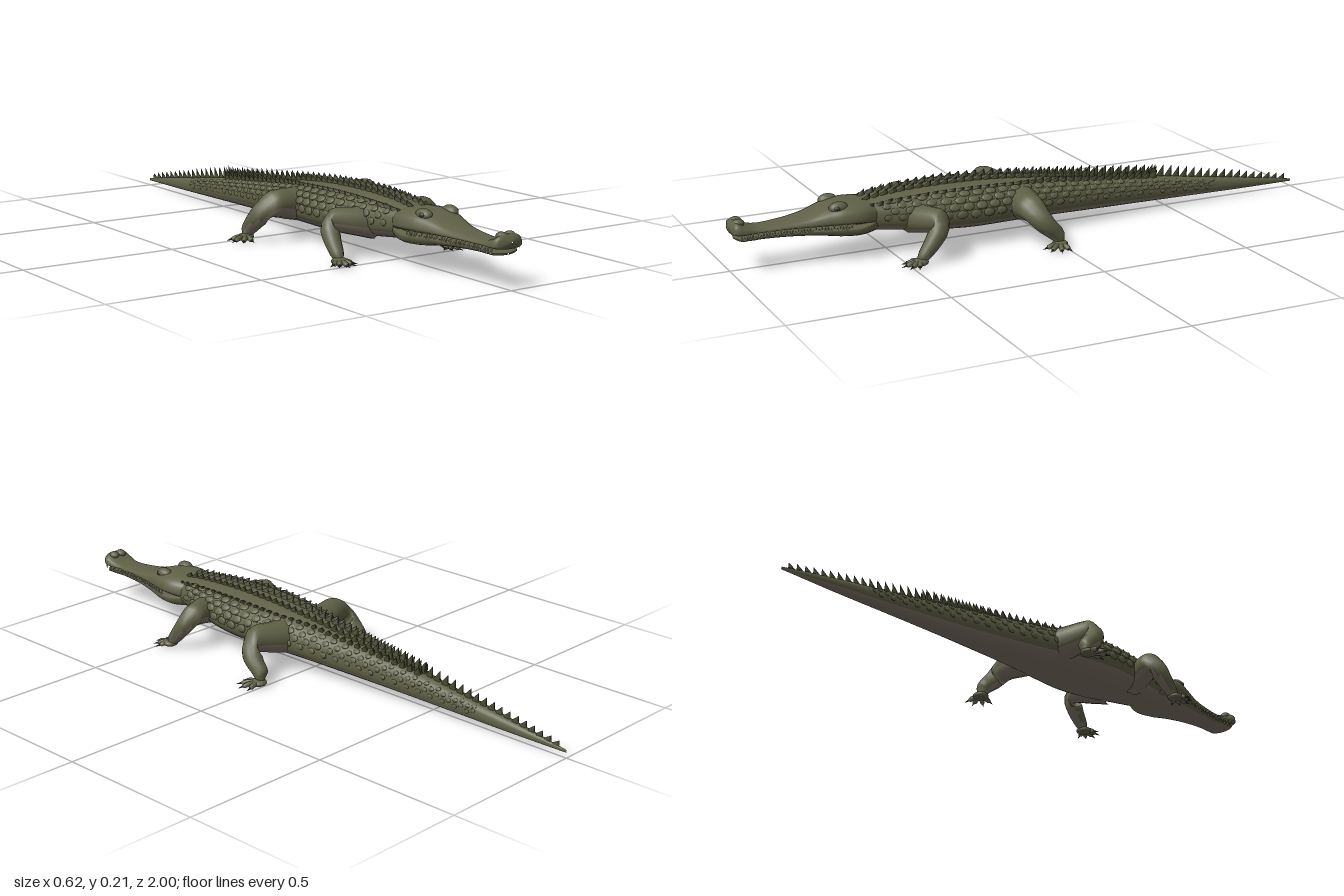
import * as THREE from 'three';
import { mergeGeometries } from 'three/addons/utils/BufferGeometryUtils.js';

const V = (x, y, z) => new THREE.Vector3(x, y, z);
const UP = V(0, 1, 0);
const mat = (name, color) => Object.assign(new THREE.MeshStandardMaterial({ color }), { name });
const hide = mat('olive hide', 0x606147);
const belly = mat('grey belly', 0x7d7366);
const plate = mat('dark plates', 0x45472f);
const ivory = mat('ivory teeth', 0xb5aa92);
const horn = mat('dark claws', 0x35342a);

// Closed-ring skin from a function of (u, angle); faces passing the test become belly
function skin(nu, nv, point, isBelly) {
  const pos = [], top = [], low = [];
  for (let i = 0; i <= nu; i++) {
    for (let j = 0; j < nv; j++) pos.push(...point(i / nu, (j / nv) * Math.PI * 2).toArray());
  }
  const geo = new THREE.BufferGeometry();
  geo.setAttribute('position', new THREE.Float32BufferAttribute(pos, 3));
  const quads = [];
  for (let i = 0; i < nu; i++) {
    for (let j = 0; j < nv; j++) {
      const a = i * nv + j, b = i * nv + (j + 1) % nv;
      quads.push({ f: [a, b, a + nv, b, b + nv, a + nv], a, angle: ((j + 0.5) / nv) * Math.PI * 2 });
    }
  }
  geo.setIndex(quads.flatMap(q => q.f));
  geo.computeVertexNormals();
  for (const q of quads) {
    (isBelly(q.angle, geo.attributes.normal.getY(q.a)) ? low : top).push(...q.f);
  }
  geo.setIndex([...top, ...low]);
  geo.addGroup(0, top.length, 0);
  geo.addGroup(top.length, low.length, 1);
  return geo;
}

// Smooth profile along z from stations [z, halfWidth, top, bottom]
function profile(stations, waist, power) {
  const curve = new THREE.CubicInterpolant(stations.map(s => s[0]), stations.flatMap(s => s.slice(1)), 3);
  const at = z => {
    const [w, top, bot] = curve.evaluate(z);
    return { w: Math.max(w, 0.001), top, bot, mid: bot + (top - bot) * waist };
  };
  const bend = v => Math.sign(v) * Math.abs(v) ** power;
  const point = (z, a) => {
    const s = at(z), y = bend(Math.sin(a));
    return V(s.w * bend(Math.cos(a)), s.mid + y * (y > 0 ? s.top - s.mid : s.mid - s.bot), z);
  };
  const z0 = stations[0][0], z1 = stations[stations.length - 1][0];
  return { at, point, along: u => z0 + (z1 - z0) * u, power };
}

// Tapered limb through [x, y, z, radius] points
function limb(pts, nu = 28, nv = 14) {
  const path = new THREE.CatmullRomCurve3(pts.map(p => V(p[0], p[1], p[2])));
  const radius = new THREE.CubicInterpolant(pts.map((p, i) => i / (pts.length - 1)), pts.map(p => p[3]), 1);
  const { normals, binormals } = path.computeFrenetFrames(nu, false);
  const geo = skin(nu, nv, (u, a) => {
    const i = Math.round(u * nu), r = radius.evaluate(u)[0];
    return path.getPoint(u).addScaledVector(normals[i], Math.cos(a) * r).addScaledVector(binormals[i], Math.sin(a) * r);
  }, (a, ny) => ny < -0.4);
  return geo;
}

// Copy of a geometry with its y axis turned to a direction
function placed(geo, pos, dir, scale) {
  const q = new THREE.Quaternion().setFromUnitVectors(UP, dir.clone().normalize());
  return geo.clone().applyMatrix4(new THREE.Matrix4().compose(pos, q, scale));
}

export function createModel() {
  const model = new THREE.Group();
  model.name = 'crocodile';
  const add = (name, geo, material, parent = model) => {
    const m = new THREE.Mesh(geo, material);
    m.name = name;
    parent.add(m);
    return m;
  };

  // Trunk and tail
  const trunk = profile([
    [-1, 0.002, 0.026, 0.018], [-0.8, 0.019, 0.058, 0.02], [-0.6, 0.031, 0.087, 0.023],
    [-0.4, 0.046, 0.117, 0.027], [-0.2, 0.068, 0.144, 0.032], [0, 0.098, 0.17, 0.039],
    [0.12, 0.121, 0.183, 0.043], [0.25, 0.135, 0.189, 0.046], [0.35, 0.125, 0.19, 0.052],
    [0.45, 0.102, 0.187, 0.062], [0.54, 0.08, 0.18, 0.072], [0.62, 0.065, 0.165, 0.085],
  ], 0.46, 0.85);
  add('body and tail', skin(120, 28, (u, a) => trunk.point(trunk.along(u), a),
    a => Math.sin(a) < -0.48), [hide, belly]);

  // Head and upper jaw, then lower jaw
  const upper = profile([
    [0.53, 0.066, 0.17, 0.1], [0.6, 0.092, 0.177, 0.11], [0.66, 0.088, 0.177, 0.112],
    [0.7, 0.076, 0.168, 0.113], [0.76, 0.06, 0.149, 0.115], [0.84, 0.047, 0.137, 0.117],
    [0.92, 0.043, 0.135, 0.117], [0.96, 0.05, 0.148, 0.116], [0.985, 0.047, 0.16, 0.117],
    [0.996, 0.032, 0.153, 0.122], [1, 0.002, 0.14, 0.136],
  ], 0.3, 0.75);
  const lower = profile([
    [0.53, 0.066, 0.13, 0.076], [0.6, 0.09, 0.115, 0.07], [0.66, 0.085, 0.113, 0.073],
    [0.72, 0.069, 0.112, 0.082], [0.8, 0.051, 0.111, 0.09], [0.9, 0.042, 0.11, 0.095],
    [0.95, 0.045, 0.11, 0.096], [0.975, 0.038, 0.109, 0.098], [0.985, 0.002, 0.105, 0.102],
  ], 0.75, 0.8);
  add('upper jaw', skin(64, 24, (u, a) => upper.point(upper.along(u), a), () => false), [hide, belly]);
  add('lower jaw', skin(56, 24, (u, a) => lower.point(lower.along(u), a), a => Math.sin(a) < -0.4), [hide, belly]);

  // Teeth, brows, eyes and nostrils
  const ball = new THREE.SphereGeometry(1, 14, 10);
  const cone = new THREE.ConeGeometry(1, 1, 6).translate(0, 0.5, 0);
  const teeth = [];
  for (const s of [-1, 1]) {
    for (let i = 0; i < 20; i++) {
      const z = 0.64 + i * 0.0175, size = 0.012 + 0.004 * Math.sin(i * 1.9);
      teeth.push(placed(cone, V(s * (upper.at(z).w * 0.95), 0.122, z), V(s * 0.12, -1, 0), V(0.0036, size + 0.003, 0.0036)));
      const zl = Math.min(z + 0.008, 0.965);
      teeth.push(placed(cone, V(s * lower.at(zl).w * 0.95, 0.105, zl), V(s * 0.1, 1, 0), V(0.0033, size, 0.0033)));
    }
    add('brow', placed(ball, V(s * 0.048, 0.167, 0.668), UP, V(0.021, 0.019, 0.031)), hide);
    add('eye', placed(ball, V(s * 0.062, 0.169, 0.676), UP, V(0.0085, 0.008, 0.011)), horn);
    add('nostril', placed(ball, V(s * 0.014, 0.161, 0.972), UP, V(0.005, 0.004, 0.007)), horn);
    add('snout bump', placed(ball, V(s * 0.015, 0.152, 0.972), UP, V(0.016, 0.013, 0.019)), hide);
  }
  add('teeth', mergeGeometries(teeth), ivory);

  // Keeled back plates and the tail crest, each a spike leaning backwards
  const spike = new THREE.ConeGeometry(1, 1, 5).translate(0, 0.45, 0);
  spike.applyMatrix4(new THREE.Matrix4().set(1, 0, 0, 0, 0, 1, 0, 0, 0, -0.9, 1, 0, 0, 0, 0, 1));
  const plates = [];
  const addPlate = (x, z, h, wide, long) => {
    const s = trunk.at(z);
    const c = Math.min(Math.abs(x) / s.w, 0.95) ** (1 / trunk.power);
    const p = trunk.point(z, Math.acos(c));
    p.x = x;
    plates.push(placed(spike, p, V(x * 2.5, 0.3, 0), V(wide, h, long)));
  };
  for (let z = 0.57; z > -0.45; z -= 0.029) {
    const t = THREE.MathUtils.clamp((0.1 - z) / 0.55, 0, 1);
    const bulge = 0.058 + 0.022 * Math.sin(THREE.MathUtils.clamp((0.57 - z) / 0.6, 0, 1) * Math.PI);
    for (const s of [-1, 1]) {
      addPlate(s * (0.022 - 0.012 * t), z, 0.02 + 0.016 * t, 0.0085 - 0.002 * t, 0.016);
      addPlate(s * THREE.MathUtils.lerp(bulge, 0.016, t), z, 0.014 + 0.014 * t, 0.0085 - 0.002 * t, 0.014);
    }
  }
  for (let z = -0.45; z > -0.98; z -= 0.03) {
    addPlate(0, z, 0.04 - 0.045 * (-0.45 - z), 0.006, 0.016);
  }
  add('back plates and tail crest', mergeGeometries(plates), plate);

  // Low rounded scales on the flanks
  const bump = new THREE.SphereGeometry(1, 8, 6);
  const scales = [];
  for (let row = 0; row < 4; row++) {
    for (let i = 0; i < 27; i++) {
      const z = 0.52 - i * 0.045 - (row % 2) * 0.022, a = 0.02 + row * 0.27;
      const st = trunk.at(z), p = trunk.point(z, a), k = 0.35 + 0.65 * st.w / 0.135;
      for (const s of [-1, 1]) {
        scales.push(placed(bump, V(s * p.x, p.y, z),
          V(s * Math.cos(a) / st.w, Math.sin(a) / (st.top - st.mid), 0), V(0.014 * k, 0.0055 * k, 0.02 * k)));
      }
    }
  }
  add('flank scales', mergeGeometries(scales), hide);

  // Legs with flat feet, splayed toes and claws
  const legs = [
    { name: 'frontLeg', foot: [0.205, 0.47], heading: 0.1, spread: 2.1, toes: 5, reach: 0.048,
      path: [[0.05, 0.105, 0.43, 0.05], [0.12, 0.115, 0.41, 0.042], [0.183, 0.118, 0.388, 0.034],
        [0.197, 0.072, 0.42, 0.027], [0.202, 0.03, 0.455, 0.02], [0.205, 0.012, 0.475, 0.008]] },
    { name: 'hindLeg', foot: [0.24, 0.015], heading: 0.95, spread: 1.6, toes: 4, reach: 0.06,
      path: [[0.04, 0.105, 0.06, 0.058], [0.12, 0.115, 0.075, 0.05], [0.2, 0.12, 0.087, 0.04],
        [0.224, 0.075, 0.055, 0.031], [0.23, 0.032, 0.012, 0.022], [0.24, 0.012, 0.012, 0.008]] },
  ];
  for (const leg of legs) {
    for (const s of [1, -1]) {
      const group = new THREE.Group();
      group.name = (s > 0 ? 'left ' : 'right ') + leg.name;
      model.add(group);
      add('limb', limb(leg.path.map(p => [s * p[0], p[1], p[2], p[3]])), [hide, belly], group);
      const [fx, fz] = leg.foot;
      add('palm', placed(ball, V(s * fx, 0.013, fz), UP, V(0.026, 0.012, 0.026)), hide, group);
      for (let i = 0; i < leg.toes; i++) {
        const a = leg.heading + (i / (leg.toes - 1) - 0.5) * leg.spread;
        const r = leg.reach * (1 - 0.12 * Math.abs(i - (leg.toes - 1) / 2));
        const on = (d, y) => [s * (fx + Math.sin(a) * d), y, fz + Math.cos(a) * d];
        add('toe', limb([[...on(0.008, 0.013), 0.009], [...on(r * 0.6, 0.013), 0.0085],
          [...on(r * 0.9, 0.009), 0.007], [...on(r, 0.008), 0.001]], 8, 8), [hide, belly], group);
        add('claw', placed(cone, V(...on(r * 0.9, 0.01)), V(s * Math.sin(a), -0.25, Math.cos(a)),
          V(0.0045, 0.022, 0.0045)), horn, group);
      }
    }
  }
  return model;
}
